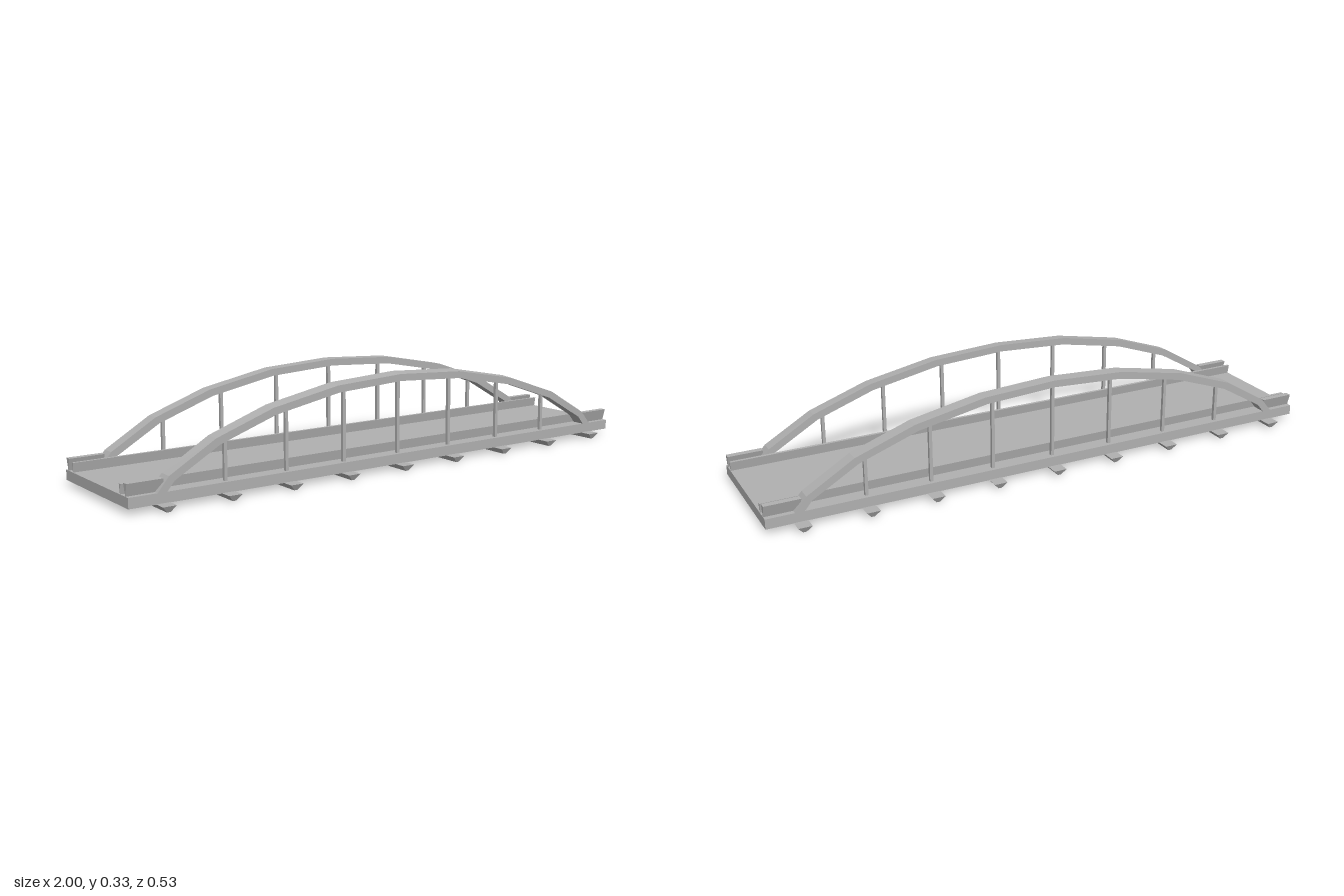
import * as THREE from 'three';

const DECK_TOP = 0.053;
const ARCH_Z = 0.1985;
const ARCH_WIDTH = 0.047;

// Upper and lower outlines of half an arch, from the crown to the foot
const archTop = [[0, 0.328], [0.255, 0.314], [0.5, 0.267], [0.705, 0.195], [0.866, 0.1], [0.905, DECK_TOP]];
const archUnder = [[0, 0.304], [0.25, 0.29], [0.49, 0.244], [0.691, 0.174], [0.848, 0.083], [0.873, DECK_TOP]];

const material = new THREE.MeshStandardMaterial({ color: 0xb0b0b0 });
material.name = 'grey';

function addMesh(parent, name, geometry, x = 0, y = 0, z = 0) {
  const mesh = new THREE.Mesh(geometry, material);
  mesh.name = name;
  mesh.position.set(x, y, z);
  parent.add(mesh);
  return mesh;
}

function extrude(points, depth) {
  const shape = new THREE.Shape(points.map(([x, y]) => new THREE.Vector2(x, y)));
  const geometry = new THREE.ExtrudeGeometry(shape, { depth, bevelEnabled: false });
  return geometry.translate(0, 0, -depth / 2);
}

// Full arch outline, mirrored about the crown
function archGeometry(lean) {
  const mirror = (half) => [...half.slice(1).reverse().map(([x, y]) => [-x, y]), ...half];
  const geometry = extrude([...mirror(archTop), ...mirror(archUnder).reverse()], ARCH_WIDTH);
  // The outer edge sits slightly lower than the inner one
  const p = geometry.attributes.position;
  for (let i = 0; i < p.count; i++) {
    if (p.getZ(i) > 0) p.setY(i, DECK_TOP + (p.getY(i) - DECK_TOP) * (1 - lean));
  }
  geometry.computeVertexNormals();
  return geometry;
}

// V-section rail running along x, standing on its narrow edge
function railGeometry(length, halfWidth, height) {
  const section = [[0, 0], [halfWidth, height], [-halfWidth, height]];
  return extrude(section, length).rotateY(Math.PI / 2);
}

// Beam along z, tapering downwards on all four sides
function crossbeamGeometry() {
  const height = 0.02;
  const geometry = new THREE.BoxGeometry(0.046, height, 0.532);
  const p = geometry.attributes.position;
  for (let i = 0; i < p.count; i++) {
    if (p.getY(i) < 0) {
      p.setX(i, p.getX(i) * 0.25);
      p.setZ(i, p.getZ(i) * 0.963);
    }
  }
  geometry.computeVertexNormals();
  return geometry.translate(0, height / 2, 0);
}

// Height of the arch's underside above a given x
function undersideAt(x) {
  const a = Math.abs(x);
  const i = archUnder.findIndex(([px]) => px > a);
  const [x0, y0] = archUnder[i - 1];
  const [x1, y1] = archUnder[i];
  return y0 + (y1 - y0) * (a - x0) / (x1 - x0);
}

export function createModel() {
  const bridge = new THREE.Group();
  bridge.name = 'archBridge';

  // Road deck
  addMesh(bridge, 'deck', new THREE.BoxGeometry(2, 0.034, 0.444), 0, 0.036, 0);

  // Crossbeams under the deck
  const beam = crossbeamGeometry();
  for (let i = -4; i <= 4; i++) addMesh(bridge, 'crossbeam', beam, i * 0.222, 0, 0);

  const innerRail = railGeometry(2, 0.0055, 0.032);
  const endRail = railGeometry(0.12, 0.011, 0.04);

  for (const side of [1, -1]) {
    const truss = new THREE.Group();
    truss.name = side > 0 ? 'frontTruss' : 'backTruss';
    bridge.add(truss);

    addMesh(truss, 'arch', archGeometry(side > 0 ? 0.018 : 0), 0, 0, side * ARCH_Z);
    addMesh(truss, 'innerRail', innerRail, 0, DECK_TOP, side * 0.169);

    // Short rails outside the arch feet
    for (const end of [-1, 1]) {
      addMesh(truss, 'endRail', endRail, end * 0.94, DECK_TOP, side * 0.204);
    }

    // Vertical hangers between the arch and the deck
    for (let i = -3; i <= 3; i++) {
      const x = i * 0.222;
      const height = undersideAt(x) + 0.004 - DECK_TOP;
      const hanger = new THREE.BoxGeometry(0.011, height, 0.011);
      addMesh(truss, 'hanger', hanger, x, DECK_TOP + height / 2, side * 0.203);
    }
  }
  return bridge;
}
